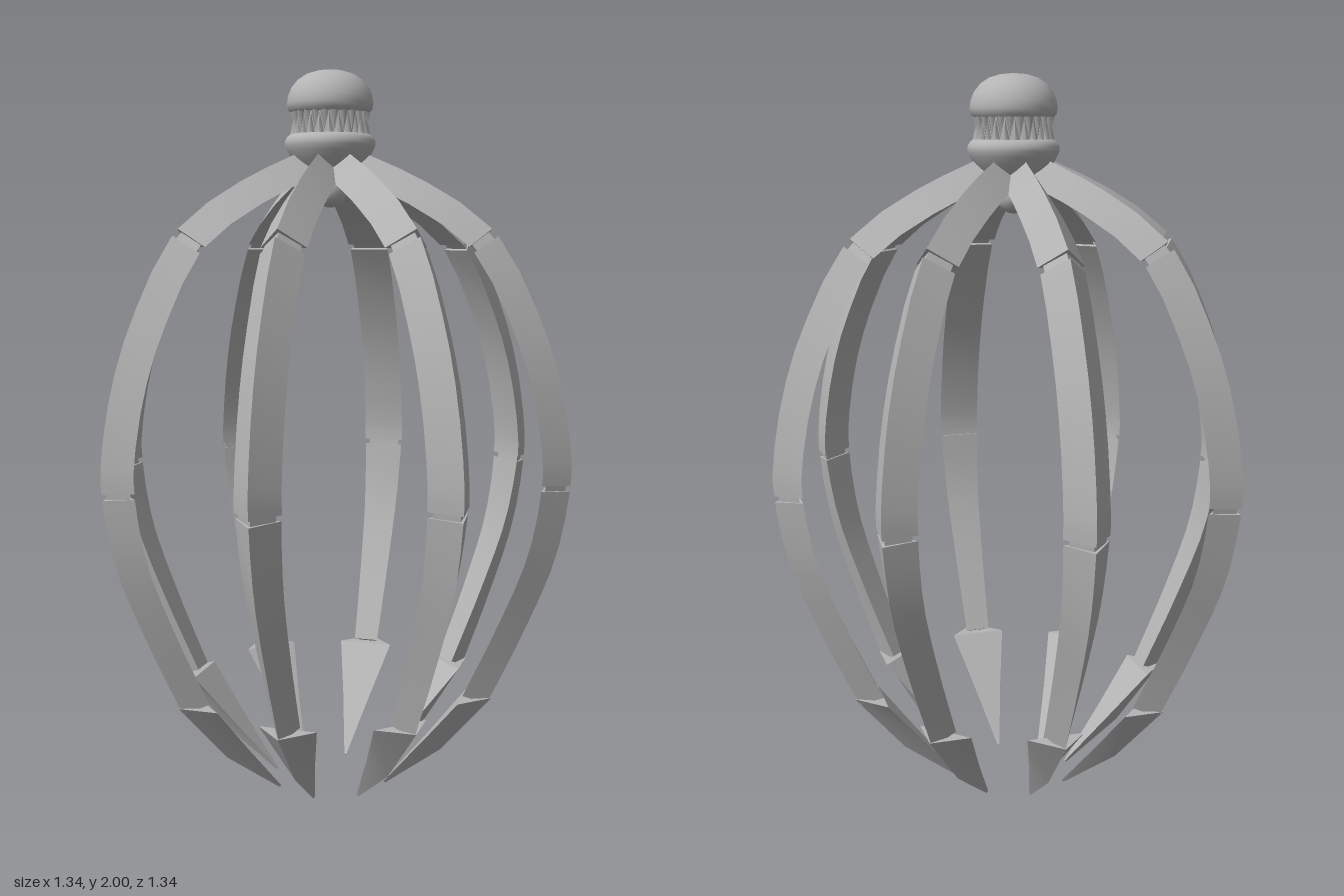
import * as THREE from 'three';
import { toCreasedNormals, mergeGeometries } from 'three/addons/utils/BufferGeometryUtils.js';

const steel = new THREE.MeshStandardMaterial({ color: 0xb4b4b4 });
steel.name = 'grey steel';

// Outer ridge of one claw arm: x = distance from the axis, y = height
const ridge = new THREE.CatmullRomCurve3([
  [0.06, 1.795], [0.13, 1.765], [0.27, 1.7], [0.45, 1.575], [0.57, 1.365], [0.635, 1.18],
  [0.67, 0.98], [0.67, 0.9], [0.635, 0.7], [0.555, 0.49], [0.455, 0.27],
].map(([r, y]) => new THREE.Vector3(r, y, 0)));

// Triangular section on the ridge with a flat inner side of half width w
function section(u, w, depth) {
  const p = ridge.getPoint(u), t = ridge.getTangent(u);
  // inward normal of the curve
  return [p.x, p.y, p.x + t.y * depth, p.y - t.x * depth, w];
}

// Loft through rows of [ridge r, ridge y, inner r, inner y, half width]
function loft(rows) {
  const pos = [], put = (...pts) => pts.forEach((p) => pos.push(...p));
  const rings = rows.map(([r, y, ri, yi, w]) => [[r, y, 0], [ri, yi, w], [ri, yi, -w]]);
  for (let i = 0; i < rings.length - 1; i++) {
    for (let k = 0; k < 3; k++) {
      const a = rings[i][k], b = rings[i][(k + 1) % 3];
      const c = rings[i + 1][k], d = rings[i + 1][(k + 1) % 3];
      put(a, b, c, b, d, c);
    }
  }
  const s = rings[0], e = rings[rings.length - 1];
  put(s[0], s[2], s[1], e[0], e[1], e[2]);
  const g = new THREE.BufferGeometry();
  g.setAttribute('position', new THREE.Float32BufferAttribute(pos, 3));
  return toCreasedNormals(g, 0.5);
}

// One link of an arm, with slightly pinched ends
function link(u0, u1, w0, w1, steps) {
  const rows = [];
  for (let i = 0; i <= steps; i++) {
    const f = i / steps;
    rows.push(section(u0 + (u1 - u0) * f, w0 + (w1 - w0) * f, 0.068));
  }
  return loft(rows);
}

// Slim core filling the gap between two links, sunk below their surfaces
function joint(u0, u1, w) {
  return loft([u0, u1].map((u) => {
    const s = section(u, w * 0.8, 0.06);
    const p = section(u, w, 0.012);
    return [p[2], p[3], s[2], s[3], s[4]];
  }));
}

function createModel() {
  const model = new THREE.Group();
  model.name = 'clawLantern';
  const add = (geometry, name, parent) => {
    const mesh = new THREE.Mesh(geometry, steel);
    mesh.name = name;
    parent.add(mesh);
  };
  const lathe = (pts, name) => add(toCreasedNormals(
    new THREE.LatheGeometry(pts.map(([r, y]) => new THREE.Vector2(r, y)), 32), 0.7), name, head);

  // Head: dome, toothed neck, collar and the knob beneath
  const head = new THREE.Group();
  head.name = 'head';
  model.add(head);
  lathe([[0, 1.888], [0.107, 1.888], [0.114, 1.895], [0.117, 1.91], [0.114, 1.93], [0.105, 1.952],
    [0.088, 1.973], [0.065, 1.988], [0.035, 1.997], [0, 2]], 'dome');
  lathe([[0.088, 1.81], [0.088, 1.895]], 'neck');
  lathe([[0, 1.685], [0.03, 1.69], [0.055, 1.705], [0.08, 1.735], [0.105, 1.765], [0.116, 1.785],
    [0.123, 1.8], [0.123, 1.812], [0.116, 1.824], [0.107, 1.83], [0, 1.83]], 'collar');
  add(new THREE.SphereGeometry(0.045, 20, 12).translate(0, 1.68, 0), 'lowerKnob', head);

  // Interlocking teeth around the neck
  const teeth = [], count = 24;
  for (let i = 0; i < count * 2; i++) {
    const up = i % 2 === 0;
    const tooth = new THREE.ConeGeometry(0.012, 0.055, 4);
    if (!up) tooth.rotateX(Math.PI);
    tooth.translate(0.097, up ? 1.855 : 1.863, 0).rotateY((i * Math.PI) / count);
    teeth.push(tooth);
  }
  add(mergeGeometries(teeth), 'neckTeeth', head);

  // Parts of one arm, shared by all eight
  const parts = {
    upperLink: link(0, 0.298, 0.047, 0.061, 6),
    upperJoint: joint(0.29, 0.318, 0.06),
    middleLink: link(0.309, 0.7, 0.058, 0.061, 9),
    lowerJoint: joint(0.69, 0.72, 0.06),
    lowerLink: link(0.71, 1, 0.059, 0.036, 8),
    barb: loft([
      [0.468, 0.288, 0.388, 0.288, 0.08],
      [0.325, 0.122, 0.282, 0.155, 0.042],
      [0.165, 0.003, 0.16, 0.008, 0.003],
    ]),
  };
  for (let i = 0; i < 8; i++) {
    const arm = new THREE.Group();
    arm.name = `arm${i + 1}`;
    for (const [name, geometry] of Object.entries(parts)) add(geometry, name, arm);
    arm.rotation.y = (i * Math.PI) / 4;
    model.add(arm);
  }
  return model;
}

export { createModel };
